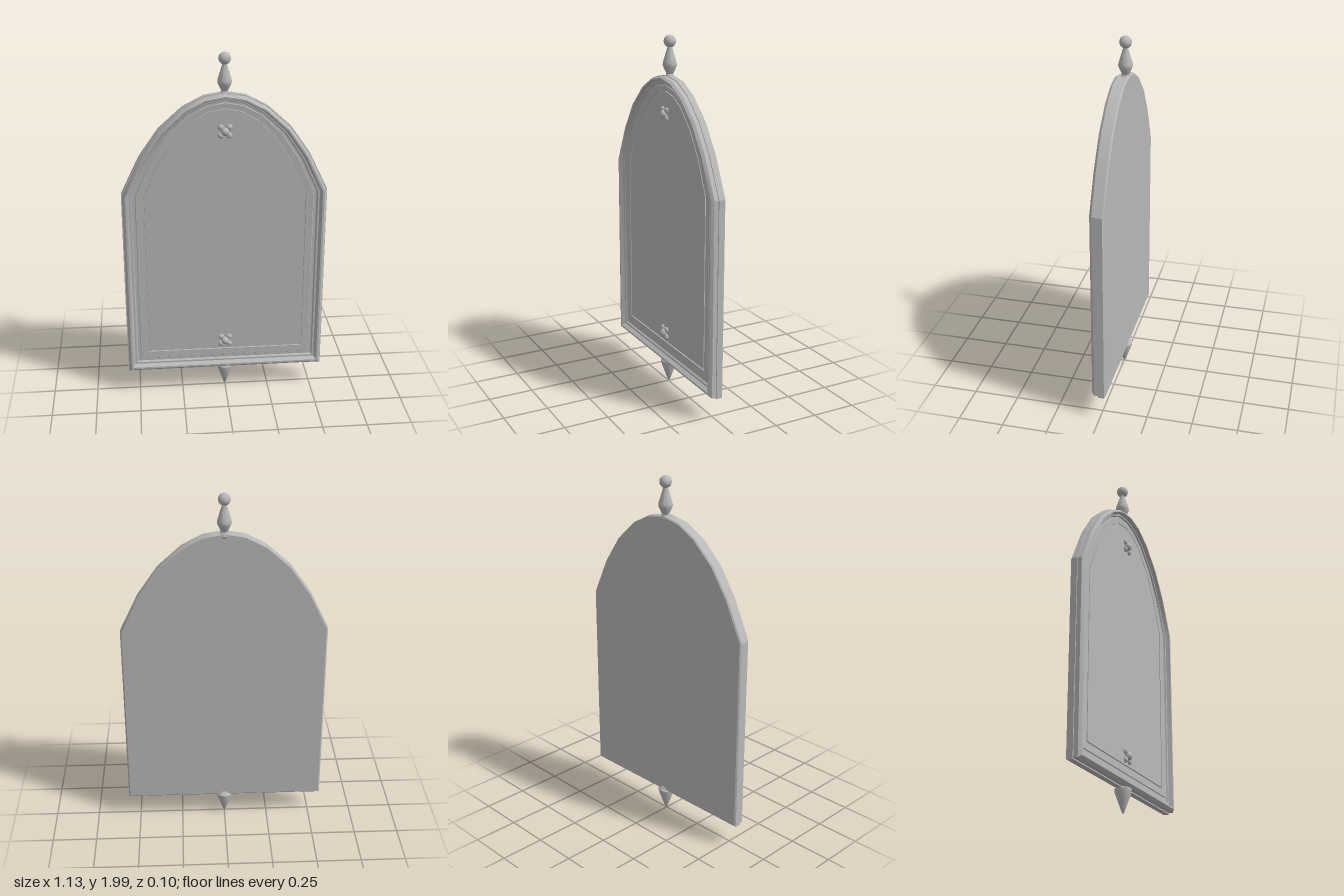
import * as THREE from 'three';
import { toCreasedNormals } from 'three/addons/utils/BufferGeometryUtils.js';

const grey = new THREE.MeshStandardMaterial({ color: 0xb8b8b8 });
grey.name = 'stone grey';

// Right half of the arch, as fractions of half width and rise
const ARCH = [[1, 0], [0.82, 0.375], [0.63, 0.65], [0.4, 0.86], [0.2, 0.965], [0, 1]];

// Arched outline, inset by d from the outer edge, counterclockwise from the front
function outline(d) {
  const w = 0.565 - d, bottom = 0.14 + d, spring = 1.23 - d * 0.08, rise = 1.79 - d * 0.7 - spring;
  const right = ARCH.map(([x, y]) => [x * w, spring + y * rise]);
  const left = right.slice(0, -1).reverse().map(([x, y]) => [-x, y]);
  return [[w, bottom], ...right, ...left, [-w, bottom]];
}

// Surface through outlines given as [inset, z] steps
function loft(steps) {
  const rings = steps.map(([d, z]) => outline(d).map(([x, y]) => [x, y, z]));
  const pos = [];
  for (let k = 0; k < rings.length - 1; k++) {
    const a = rings[k], b = rings[k + 1], n = a.length;
    for (let i = 0; i < n; i++) {
      const j = (i + 1) % n;
      pos.push(...a[i], ...a[j], ...b[j], ...a[i], ...b[j], ...b[i]);
    }
  }
  const g = new THREE.BufferGeometry();
  g.setAttribute('position', new THREE.Float32BufferAttribute(pos, 3));
  return toCreasedNormals(g, 0.42);
}

// Flat arched face
function face(d) {
  return new THREE.ShapeGeometry(new THREE.Shape(outline(d).map(([x, y]) => new THREE.Vector2(x, y))));
}

function lathe(points, segments = 20) {
  const g = new THREE.LatheGeometry(points.map(([r, y]) => new THREE.Vector2(r, y)), segments);
  return toCreasedNormals(g, 0.6);
}

export function createModel() {
  const model = new THREE.Group();
  model.name = 'archedPlaque';
  const add = (name, geometry, x = 0, y = 0, z = 0, parent = model) => {
    const mesh = new THREE.Mesh(geometry, grey);
    mesh.name = name;
    mesh.position.set(x, y, z);
    parent.add(mesh);
    return mesh;
  };

  // Backing board with softened rear edge
  add('backingEdge', loft([[0.008, -0.03], [0, -0.023], [0, 0.01], [0.02, 0.01]]));
  const back = face(0.008);
  back.rotateY(Math.PI);
  add('backFace', back, 0, 0, -0.03);

  // Stepped frame moulding, ending in a fine groove around the panel
  add('frameMoulding', loft([
    [0.006, 0.01], [0.006, 0.034], [0.02, 0.048], [0.03, 0.048], [0.043, 0.027],
    [0.053, 0.027], [0.06, 0.018], [0.075, 0.018], [0.078, 0.022], [0.117, 0.02],
    [0.118, 0.013], [0.123, 0.013], [0.124, 0.02],
  ]));
  add('panel', face(0.124), 0, 0, 0.02);

  // Small four-petal rosettes
  for (const [name, y] of [['upperRosette', 1.58], ['lowerRosette', 0.315]]) {
    const rosette = new THREE.Group();
    rosette.name = name;
    rosette.position.set(0, y, 0.022);
    model.add(rosette);
    add('rosetteCentre', new THREE.SphereGeometry(0.023, 16, 12), 0, 0, 0.006, rosette);
    for (const sx of [-1, 1]) for (const sy of [-1, 1]) {
      const petal = add('petal', new THREE.SphereGeometry(0.017, 12, 8), sx * 0.023, sy * 0.023, 0, rosette);
      petal.scale.z = 0.8;
    }
  }

  // Top finial: turned spindle with a ball
  add('topSpindle', lathe([
    [0, 1.755], [0.022, 1.76], [0.027, 1.772], [0.022, 1.788], [0.018, 1.795],
    [0.03, 1.82], [0.039, 1.842], [0.036, 1.86], [0.022, 1.905], [0.013, 1.935], [0.013, 1.95],
  ]), 0, 0, -0.008);
  add('topBall', new THREE.SphereGeometry(0.033, 20, 14), 0, 1.967, -0.008);

  // Bottom drop: pointed cone under a small dome
  add('bottomDrop', lathe([
    [0, 0.008], [0.008, 0.022], [0.045, 0.125], [0.046, 0.14],
    [0.036, 0.148], [0.03, 0.16], [0.018, 0.17], [0, 0.174],
  ]), 0, 0, -0.003);

  return model;
}
